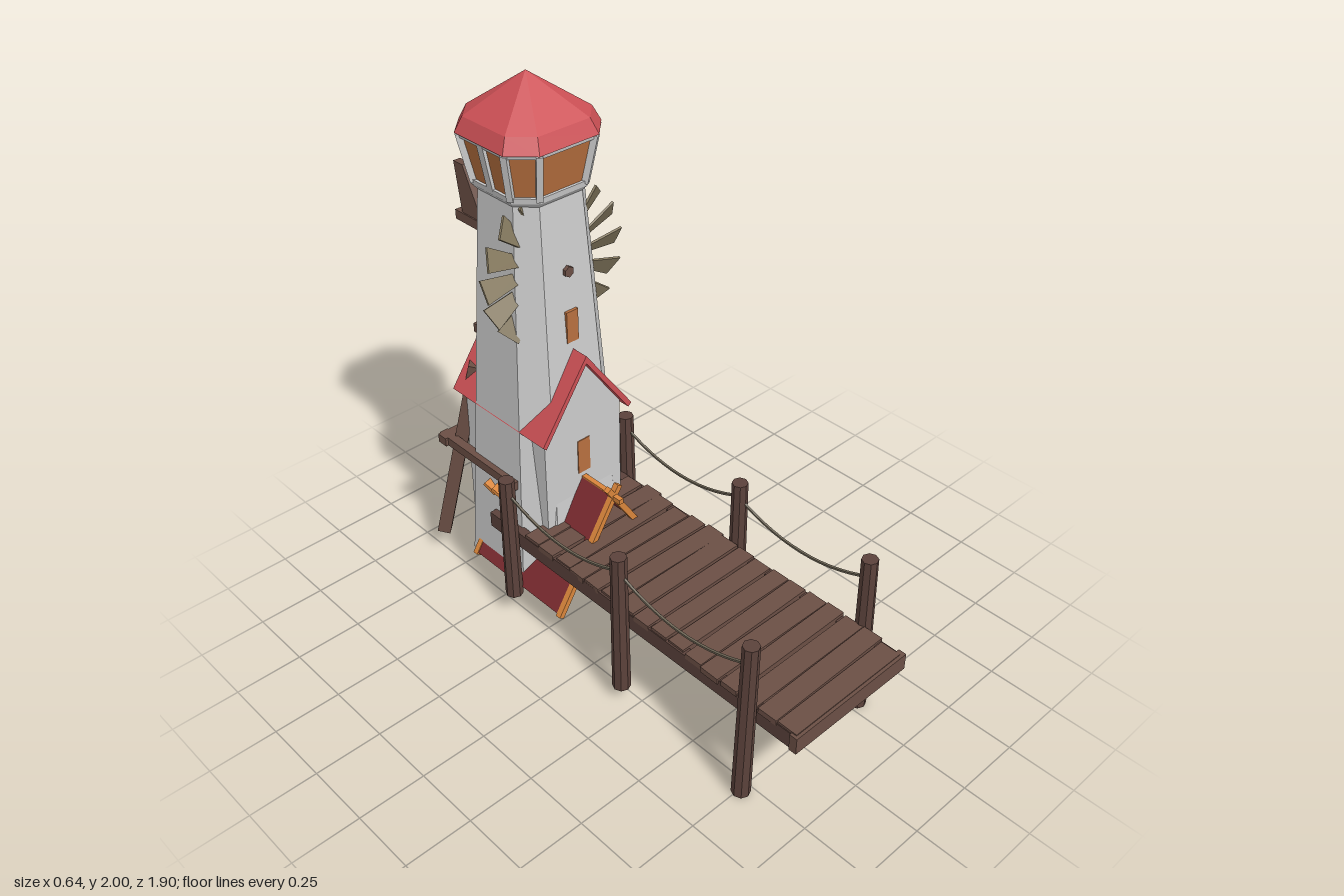
import * as THREE from 'three';

const mat = (color) => new THREE.MeshStandardMaterial({ color, flatShading: true, side: THREE.DoubleSide });
const CZ = -0.54; // tower centre in z

export function createModel() {
  const model = new THREE.Group();
  const grey = mat(0xcccccc), red = mat(0xcc5055), darkRed = mat(0x7d2c30), orange = mat(0xd9853b);
  const glass = mat(0xb8703f), wood = mat(0x6b4f45), darkWood = mat(0x5b423b), khaki = mat(0x85795f), rope = mat(0x6e6656);

  let seed = 7;
  const rand = () => (seed = (seed * 16807) % 2147483647) / 2147483647 - 0.5;

  const add = (name, geo, material, parent = model) => {
    const mesh = new THREE.Mesh(geo, material);
    mesh.name = name;
    parent.add(mesh);
    return mesh;
  };
  const group = (name) => {
    const g = new THREE.Group();
    g.name = name;
    model.add(g);
    return g;
  };
  const box = (name, w, h, d, x, y, z, material, parent) => {
    const m = add(name, new THREE.BoxGeometry(w, h, d), material, parent);
    m.position.set(x, y, z);
    return m;
  };
  // square beam between two points
  const beam = (name, a, b, w, h, material, parent) => {
    const p = new THREE.Vector3(...a), q = new THREE.Vector3(...b);
    const m = add(name, new THREE.BoxGeometry(w, h, p.distanceTo(q)), material, parent);
    m.position.copy(p).add(q).multiplyScalar(0.5);
    m.lookAt(q);
    return m;
  };
  // corners of a chamfered square of half width h
  const corners = (h, y) => {
    const c = h * 0.6;
    return [[h, -c], [h, c], [c, h], [-c, h], [-h, c], [-h, -c], [-c, -h], [c, -h]].map(([x, z]) => [x, y, z + CZ]);
  };
  // stack of chamfered squares, [halfWidth, y] from bottom to top
  const stack = (name, profile, material, parent) => {
    const pos = [];
    const tri = (...pts) => pts.forEach((p) => pos.push(...p));
    const rings = profile.map(([h, y]) => corners(h, y));
    const low = [0, profile[0][1], CZ], high = [0, profile.at(-1)[1], CZ];
    for (let i = 0; i < 8; i++) {
      const j = (i + 1) % 8;
      for (let k = 0; k + 1 < rings.length; k++) {
        const r = rings[k], s = rings[k + 1];
        tri(r[i], s[i], s[j]);
        tri(r[i], s[j], r[j]);
      }
      tri(low, rings[0][i], rings[0][j]);
      tri(high, rings.at(-1)[j], rings.at(-1)[i]);
    }
    const geo = new THREE.BufferGeometry();
    geo.setAttribute('position', new THREE.Float32BufferAttribute(pos, 3));
    geo.computeVertexNormals();
    return add(name, geo, material, parent);
  };
  // outline in x and y, extruded along z around the tower centre
  const prism = (name, pts, depth, material, parent) => {
    const shape = new THREE.Shape(pts.map((p) => new THREE.Vector2(...p)));
    const geo = new THREE.ExtrudeGeometry(shape, { depth, bevelEnabled: false });
    return add(name, geo.translate(0, 0, CZ - depth / 2), material, parent);
  };

  // Tower
  stack('tower', [[0.245, 0.12], [0.15, 1.62]], grey);
  box('foundationBlock', 0.11, 0.12, 0.11, 0, 0.07, CZ, grey);
  prism('gableHouse', [[-0.175, 0.12], [0.175, 0.12], [0.175, 0.79], [0, 1.035], [-0.175, 0.79]], 0.445, grey);
  prism('gableRoof', [[0, 1.06], [-0.205, 0.775], [-0.19, 0.762], [0, 1.03], [0.19, 0.762], [0.205, 0.775]], 0.505, red);
  box('lowerWindows', 0.055, 0.14, 0.452, 0, 0.63, CZ, glass);
  box('upperWindows', 0.05, 0.12, 0.374, 0, 1.15, CZ, glass);

  // Lantern room and roof
  const lantern = group('lanternRoom');
  stack('lanternFloor', [[0.145, 1.605], [0.165, 1.63], [0.168, 1.65]], grey, lantern);
  stack('lanternGlass', [[0.156, 1.64], [0.187, 1.81]], glass, lantern);
  stack('lanternTopBand', [[0.195, 1.798], [0.199, 1.818]], grey, lantern);
  const lo = corners(0.16, 1.64), hi = corners(0.192, 1.81);
  lo.forEach((p, i) => beam('lanternBar', p, hi[i], 0.022, 0.022, grey, lantern));
  for (const s of [-1, 1]) beam('lanternMullion', [s * 0.158, 1.64, CZ], [s * 0.19, 1.81, CZ], 0.03, 0.018, grey, lantern);
  stack('lanternRoof', [[0.203, 1.812], [0.178, 1.865], [0.0005, 2]], red);

  // Wind wheel with tail vane
  const wheel = group('windWheel');
  const hub = add('wheelShaft', new THREE.CylinderGeometry(0.02, 0.02, 0.5, 6), wood, wheel);
  hub.rotation.x = Math.PI / 2;
  hub.position.set(0, 1.355, -0.61);
  const bladeShape = new THREE.Shape([[0.14, -0.017], [0.29, -0.042], [0.29, 0.042], [0.14, 0.017]].map((p) => new THREE.Vector2(...p)));
  const bladeGeo = new THREE.ExtrudeGeometry(bladeShape, { depth: 0.008, bevelEnabled: false });
  bladeGeo.translate(0, 0, -0.004).rotateX(0.5);
  for (let i = 0; i < 16; i++) {
    const blade = add('blade', bladeGeo, khaki, wheel);
    blade.position.set(0, 1.355, -0.445);
    blade.rotation.z = (i * Math.PI) / 8;
  }
  box('tailBeam', 0.04, 0.036, 0.27, 0, 1.355, -0.815, wood, wheel);
  const finShape = new THREE.Shape([[0.8, 1.37], [0.915, 1.37], [0.945, 1.56], [0.895, 1.56]].map((p) => new THREE.Vector2(...p)));
  const finGeo = new THREE.ExtrudeGeometry(finShape, { depth: 0.03, bevelEnabled: false });
  add('tailFin', finGeo.translate(0, 0, -0.015).rotateY(Math.PI / 2), wood, wheel);

  // Dock
  const dock = group('dock');
  for (let i = 0; i < 16; i++) {
    const z = 0.9 - i * 0.081;
    const plank = box('plank', 0.515 + rand() * 0.025, 0.022, 0.072 + rand() * 0.012, rand() * 0.015, 0.372 + rand() * 0.006, z, wood, dock);
    plank.rotation.set(rand() * 0.04, rand() * 0.04, rand() * 0.015);
  }
  box('endBoard', 0.53, 0.065, 0.03, 0, 0.345, 0.935, wood, dock);
  for (const s of [-1, 1]) box('stringer', 0.035, 0.062, 1.49, s * 0.24, 0.342, 0.195, darkWood, dock);

  // Mooring posts and ropes: [z, bottom, top]
  const posts = [[0.76, 0, 0.65], [0.18, 0.05, 0.635], [-0.4, 0.1, 0.62]];
  for (const s of [-1, 1]) {
    posts.forEach(([z, y0, y1], i) => {
      const post = add('dockPost', new THREE.CylinderGeometry(0.029, 0.033, y1 - y0, 8), darkWood, dock);
      post.position.set(s * 0.285, (y0 + y1) / 2, z);
      post.rotation.set(rand() * 0.025, 0, rand() * 0.025);
      if (i === 2) return;
      const [z2] = posts[i + 1];
      const curve = new THREE.QuadraticBezierCurve3(
        new THREE.Vector3(s * 0.285, 0.575, z), new THREE.Vector3(s * 0.285, 0.43, (z + z2) / 2), new THREE.Vector3(s * 0.285, 0.565, z2));
      add('rope', new THREE.TubeGeometry(curve, 14, 0.006, 5), rope, dock);
    });
  }

  // A-frame shelter running under the tower
  const shelter = group('shelter');
  for (const s of [-1, 1]) {
    beam('shelterPanel', [s * 0.005, 0.53, -0.405], [s * 0.262, 0.128, -0.405], 0.46, 0.012, darkRed, shelter);
    for (const z of [-0.165, -0.645]) beam('shelterRafter', [-s * 0.025, 0.57, z], [s * 0.265, 0.12, z], 0.022, 0.022, orange, shelter);
  }
  box('shelterRidge', 0.02, 0.02, 0.24, 0, 0.53, -0.24, orange, shelter);

  // Small chevron hoods on the four tower faces
  for (let i = 0; i < 4; i++) {
    const hood = group('ventHood');
    hood.position.set(0, i % 2 ? 0.475 : 0.45, CZ);
    hood.rotation.y = (i * Math.PI) / 2;
    for (const s of [-1, 1]) beam('hoodSlat', [0, 0.015, 0.23], [s * 0.042, -0.02, 0.23], 0.04, 0.014, orange, hood);
  }

  // Rear scaffold
  const scaffold = group('rearScaffold');
  for (const s of [-1, 1]) {
    beam('scaffoldLeg', [s * 0.13, 0.87, -0.745], [s * 0.25, 0.1, -0.87], 0.05, 0.05, wood, scaffold);
    box('scaffoldSideRail', 0.035, 0.035, 0.43, s * 0.222, 0.547, -0.64, wood, scaffold);
  }
  box('scaffoldBackRail', 0.5, 0.035, 0.045, 0, 0.547, -0.828, wood, scaffold);
  box('rearShelf', 0.2, 0.035, 0.085, 0, 0.995, -0.74, wood, scaffold);

  return model;
}
